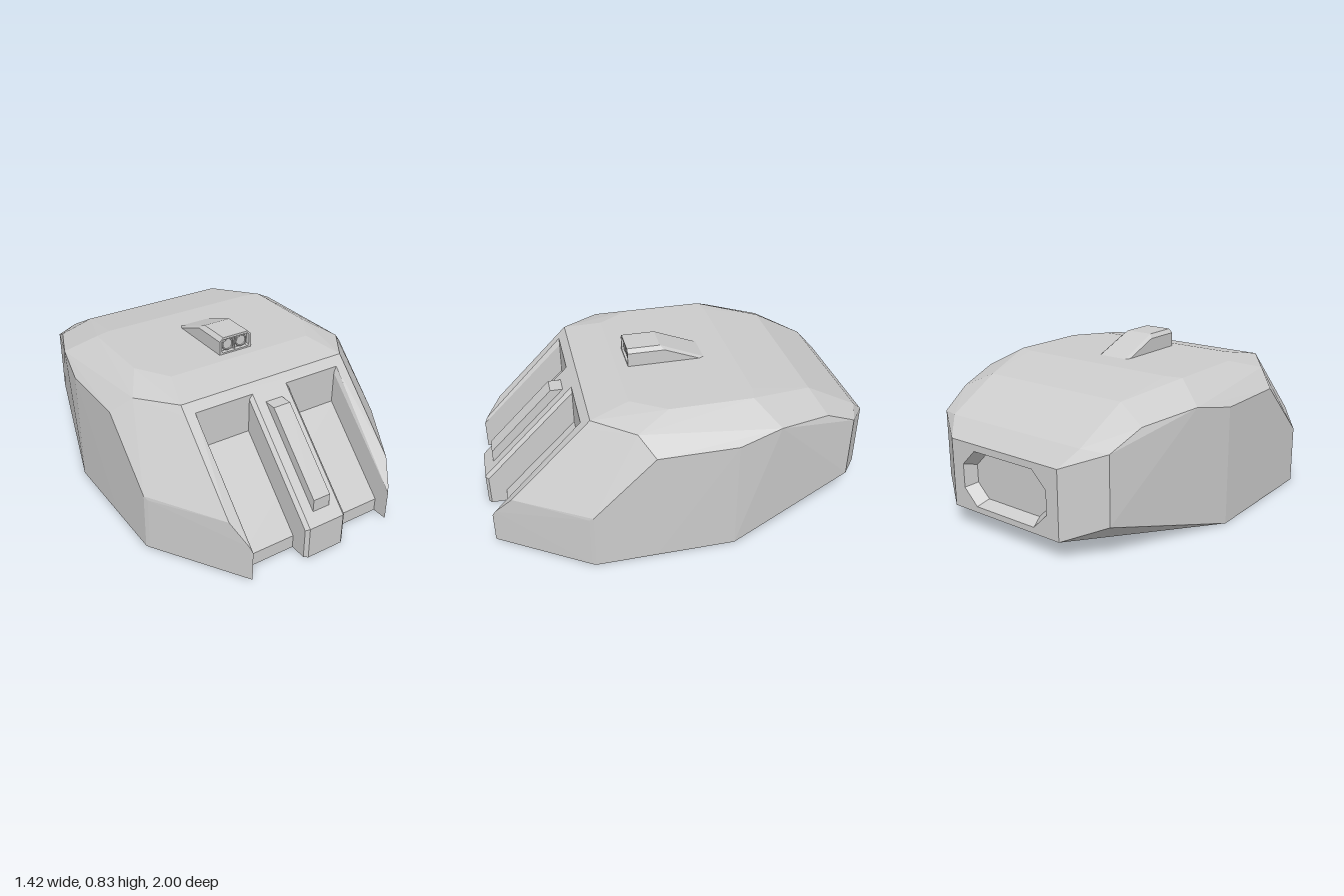
import * as THREE from 'three';
import { ConvexGeometry } from 'three/addons/geometries/ConvexGeometry.js';

const mat = new THREE.MeshStandardMaterial({ color: 0xcccccc, flatShading: true });
const smooth = new THREE.MeshStandardMaterial({ color: 0xcccccc });

function add(parent, name, geometry, material = mat) {
  const mesh = new THREE.Mesh(geometry, material);
  mesh.name = name;
  parent.add(mesh);
  return mesh;
}

// Convex solid from [x, y, z] corners, optionally mirrored across x = 0
function hull(points, mirror = true) {
  const v = points.map(p => new THREE.Vector3(...p));
  if (mirror) points.forEach(([x, y, z]) => v.push(new THREE.Vector3(-x, y, z)));
  return new ConvexGeometry(v);
}

// Symmetric solid from a [z, y] profile and a half width
const slab = (profile, w) => hull(profile.map(([z, y]) => [w, y, z]));

// Remove the triangles lying on the plane z = zCut
function openAt(geometry, zCut) {
  const p = geometry.attributes.position, out = [];
  for (let i = 0; i < p.count; i += 3) {
    if ([0, 1, 2].every(k => Math.abs(p.getZ(i + k) - zCut) < 1e-4)) continue;
    for (let k = 0; k < 3; k++) out.push(p.getX(i + k), p.getY(i + k), p.getZ(i + k));
  }
  const g = new THREE.BufferGeometry();
  g.setAttribute('position', new THREE.Float32BufferAttribute(out, 3));
  g.computeVertexNormals();
  return g;
}

// Chamfered rectangle as a counter-clockwise list of [x, y]
function octagon(w, y0, y1, c) {
  return [[-w + c, y0], [w - c, y0], [w, y0 + c], [w, y1 - c],
    [w - c, y1], [-w + c, y1], [-w, y1 - c], [-w, y0 + c]];
}
const toVec = pts => pts.map(([x, y]) => new THREE.Vector2(x, y));

// Band of quads joining two rings of equal length, facing the opening
function band(ringA, zA, ringB, zB) {
  const out = [];
  ringA.forEach((a, i) => {
    const j = (i + 1) % ringA.length;
    const A = [...a, zA], A2 = [...ringA[j], zA], B = [...ringB[i], zB], B2 = [...ringB[j], zB];
    out.push(...A, ...B2, ...A2, ...A, ...B, ...B2);
  });
  const g = new THREE.BufferGeometry();
  g.setAttribute('position', new THREE.Float32BufferAttribute(out, 3));
  g.computeVertexNormals();
  return g;
}

function createModel() {
  const model = new THREE.Group();
  model.name = 'turret';

  // Main armoured shell, open at the rear face
  const shell = hull([
    [0.71, 0, 0.51], [0.71, 0.3, 0.51], [0.475, 0.66, 0.51], [0.475, 0.70, 0.47],
    [0.41, 0.737, 0.27], [0.52, 0.737, 0.1], [0.62, 0.685, 0.27],
    [0.712, 0.6, 0.2], [0.712, 0.6, -0.2], [0.712, 0.01, 0.2], [0.71, 0, -0.2],
    [0.52, 0.737, -0.32], [0.44, 0.737, -0.34], [0.67, 0.645, -0.42],
    [0.41, 0.68, -0.65], [0.565, 0.605, -0.7], [0.52, 0.52, -0.87], [0.52, 0.18, -0.87],
    [0.4, 0.535, -0.92], [0.335, 0.45, -1], [0.335, 0.105, -1]]);
  add(model, 'shell', openAt(shell, -1));

  // Rear plate with a recessed octagonal port
  const port = new THREE.Group();
  port.name = 'rearPort';
  model.add(port);
  const rim = octagon(0.265, 0.135, 0.415, 0.08);
  const inner = octagon(0.235, 0.16, 0.39, 0.07);
  const plate = new THREE.Shape(toVec([[-0.335, 0.105], [0.335, 0.105], [0.335, 0.45], [-0.335, 0.45]]));
  plate.holes.push(new THREE.Path(toVec(rim).reverse()));
  const turn = Math.PI;
  const face = add(port, 'rearPlate', new THREE.ShapeGeometry(plate));
  face.position.z = -1;
  face.rotation.y = turn;
  const wall = add(port, 'portWall', band(rim, 1, inner, 0.94));
  wall.rotation.y = turn;
  wall.material = new THREE.MeshStandardMaterial({ color: 0xcccccc, flatShading: true, side: THREE.DoubleSide });
  const back = add(port, 'portFloor', new THREE.ShapeGeometry(new THREE.Shape(toVec(inner))));
  back.position.z = -0.94;
  back.rotation.y = turn;

  // Sloped floor of the two front channels
  add(model, 'channelFloor', slab([[0.5, 0], [0.9, 0], [0.9, 0.07], [0.51, 0.457], [0.5, 0.457]], 0.43));

  // Central spine between the channels, with chamfered edges
  add(model, 'spine', hull([
    [0.118, 0, 0.5], [0.118, 0, 0.985], [0.118, 0.16, 0.985], [0.118, 0.635, 0.51],
    [0.1, 0, 1], [0.1, 0.17, 1], [0.1, 0.66, 0.51], [0.1, 0.66, 0.5]]));

  // Raised bar on the spine
  add(model, 'spineBar', slab([[0.95, 0.22], [0.95, 0.285], [0.615, 0.62], [0.55, 0.62]], 0.048));

  // Cheeks flanking the channels
  for (const s of [1, -1]) {
    const corners = [
      [0.41, 0, 0.5], [0.41, 0, 0.98], [0.41, 0.16, 0.98], [0.41, 0.625, 0.51],
      [0.422, 0.19, 0.965], [0.422, 0.66, 0.51],
      [0.475, 0.293, 0.877], [0.475, 0.66, 0.51],
      [0.71, 0.3, 0.51], [0.71, 0, 0.51], [0.7, 0.285, 0.53], [0.7, 0, 0.53]];
    add(model, s > 0 ? 'leftCheek' : 'rightCheek', hull(corners.map(([x, y, z]) => [x * s, y, z]), false));
  }

  // Roof sight: wedge body, front frame and twin lenses
  const sight = new THREE.Group();
  sight.name = 'roofSight';
  model.add(sight);
  add(sight, 'sightBody', hull([
    [0.095, 0.73, 0.19], [0.095, 0.81, 0.19], [0.075, 0.83, 0.19],
    [0.075, 0.83, 0.04], [0.095, 0.81, 0.02], [0.095, 0.735, -0.17], [0.08, 0.735, -0.195]]));
  const frame = new THREE.Shape(toVec([[-0.095, 0.735], [0.095, 0.735], [0.095, 0.81],
    [0.075, 0.83], [-0.075, 0.83], [-0.095, 0.81]]));
  frame.holes.push(new THREE.Path(toVec(octagon(0.082, 0.745, 0.818, 0.008)).reverse()));
  add(sight, 'sightFrame', new THREE.ExtrudeGeometry(frame, { depth: 0.025, bevelEnabled: false }))
    .position.z = 0.188;
  add(sight, 'sightDivider', new THREE.BoxGeometry(0.006, 0.073, 0.015)).position.set(0, 0.782, 0.195);
  for (const s of [1, -1]) {
    const ring = add(sight, 'lensRing', new THREE.TorusGeometry(0.03, 0.004, 8, 28), smooth);
    ring.position.set(s * 0.04, 0.782, 0.2);
    const lens = add(sight, 'lens', new THREE.CylinderGeometry(0.03, 0.03, 0.012, 28), smooth);
    lens.rotation.x = Math.PI / 2;
    lens.position.set(s * 0.04, 0.782, 0.193);
  }
  return model;
}

export { createModel };
